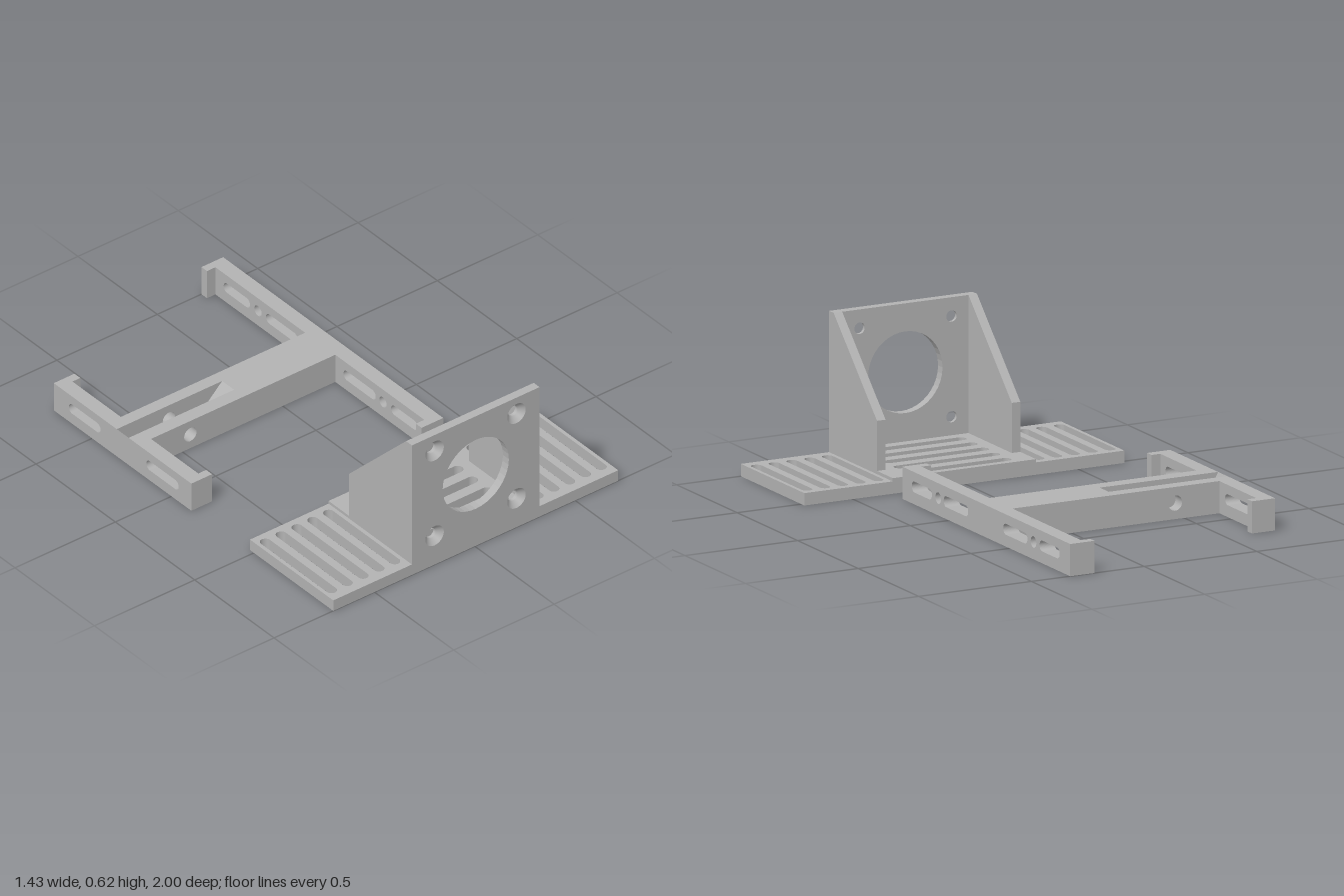
import * as THREE from 'three';

const grey = new THREE.MeshStandardMaterial({ color: 0xb2b2b2 });
grey.name = 'grey plastic';
const greyOpen = grey.clone();
greyOpen.side = THREE.DoubleSide;

const poly = (pts) => new THREE.Shape(pts.map(([a, b]) => new THREE.Vector2(a, b)));
const rect = (a0, a1, b0, b1) => poly([[a0, b0], [a1, b0], [a1, b1], [a0, b1]]);

function circle(x, y, r) {
  const p = new THREE.Path();
  p.absarc(x, y, r, 0, Math.PI * 2, true);
  return p;
}

// Round-ended slot spanning a0..a1, b0..b1, along its longer side
function slot(a0, a1, b0, b1) {
  const p = new THREE.Path();
  const ca = (a0 + a1) / 2, cb = (b0 + b1) / 2, h = Math.PI / 2;
  if (a1 - a0 > b1 - b0) {
    const r = (b1 - b0) / 2;
    p.absarc(a1 - r, cb, r, -h, h, false);
    p.absarc(a0 + r, cb, r, h, 3 * h, false);
  } else {
    const r = (a1 - a0) / 2;
    p.absarc(ca, b1 - r, r, 0, 2 * h, false);
    p.absarc(ca, b0 + r, r, 2 * h, 4 * h, false);
  }
  p.closePath();
  return p;
}

// Extrude from w0 to w1 along an axis. Shape axes: z -> (x, y), y -> (x, -z), x -> (-z, y)
function solid(group, name, shape, axis, w0, w1, holes = []) {
  shape.holes.push(...holes);
  const geo = new THREE.ExtrudeGeometry(shape, { depth: w1 - w0, bevelEnabled: false, curveSegments: 20 });
  geo.translate(0, 0, w0);
  if (axis === 'y') geo.rotateX(-Math.PI / 2);
  if (axis === 'x') geo.rotateY(Math.PI / 2);
  const mesh = new THREE.Mesh(geo, grey);
  mesh.name = name;
  group.add(mesh);
}

function motorMount() {
  const g = new THREE.Group();
  g.name = 'motorMount';
  const L = -0.313, R = 0.323, back = 0.475, inner = 0.963, sink = 0.977;

  // Slotted base: raised centre and two thinner wings
  const rows = [0, 1, 2, 3, 4].map((i) => 0.527 + i * 0.0925);
  solid(g, 'centreBase', rect(L, R, -inner, -back), 'y', 0, 0.063,
    rows.map((z) => slot(-0.228, 0.238, -z - 0.023, -z + 0.023)));
  for (const [name, x0, x1, first] of [['rightWing', -0.705, L, -0.667], ['leftWing', R, 0.715, 0.362]]) {
    const cols = [0, 1, 2, 3, 4].map((i) => first + i * 0.0788);
    solid(g, name, rect(x0, x1, -1, -back), 'y', 0, 0.05,
      cols.map((x) => slot(x - 0.022, x + 0.022, -0.962, -0.503)));
  }

  // Upright face with a large bore and four countersunk screw holes
  const screws = [-0.2, 0.208].flatMap((x) => [0.138, 0.544].map((y) => [x, y]));
  const face = (name, z0, z1, r) => solid(g, name, rect(L, R, 0, 0.62), 'z', z0, z1,
    [circle(0.005, 0.342, 0.165), ...screws.map(([x, y]) => circle(x, y, r))]);
  face('facePlateBack', inner, sink, 0.023);
  face('facePlateFront', sink, 1, 0.046);
  for (const [x, y] of screws) {
    const cone = new THREE.Mesh(new THREE.CylinderGeometry(0.046, 0.023, 1 - sink, 40, 1, true), greyOpen);
    cone.rotation.x = Math.PI / 2;
    cone.position.set(x, y, (1 + sink) / 2);
    cone.name = 'countersink';
    g.add(cone);
  }

  // Sloping side braces
  for (const [name, x0] of [['rightBrace', L], ['leftBrace', R - 0.038]]) {
    solid(g, name, poly([[-inner, 0.063], [-0.605, 0.063], [-0.605, 0.265], [-inner, 0.62]]), 'x', x0, x0 + 0.038);
  }
  return g;
}

function railFrame() {
  const g = new THREE.Group();
  g.name = 'railFrame';
  const H = 0.13, z0 = -0.345, z1 = -0.27;
  const railSlot = (a, b) => slot(-b, -a, 0.048, 0.092);
  const inFront = railSlot(-0.158, 0.045), inBack = railSlot(-0.647, -0.447);

  // Long rail with four slots and two round holes
  solid(g, 'longRail', rect(-0.387, 1, 0, H), 'x', 0.262, 0.328, [
    inFront, inBack, railSlot(0.142, 0.308), railSlot(-0.913, -0.747),
    circle(-0.09, 0.07, 0.023), circle(0.697, 0.07, 0.023)]);

  // Short rail, split around the sloped notch
  solid(g, 'shortRailFront', rect(-0.125, -z1, 0, H), 'x', -0.72, -0.656, [inFront]);
  solid(g, 'shortRailBack', rect(-z0, 0.742, 0, H), 'x', -0.72, -0.656, [inBack]);
  solid(g, 'shortRailNotch', poly([[-0.72, 0], [-0.656, 0], [-0.72, H]]), 'z', z0, z1);

  // Inward hooks at the rail ends
  for (const [xa, xb, za, zb] of [
    [0.22, 0.262, 0.351, 0.387], [0.22, 0.262, -1, -0.965],
    [-0.656, -0.617, 0.088, 0.125], [-0.656, -0.617, -0.742, -0.705]]) {
    solid(g, 'hook', rect(xa, xb, 0, H), 'z', za, zb);
  }

  // Crossbar: drilled cheeks either side of a ramped opening
  for (const [name, a, b] of [['crossbarFront', z1, -0.21], ['crossbarBack', -0.4, z0]]) {
    solid(g, name, rect(-0.656, 0.262, 0, H), 'z', a, b, [circle(-0.46, 0.065, 0.031)]);
  }
  solid(g, 'crossbarRamp', poly([[-0.33, 0], [0.262, 0], [0.262, H], [-0.195, H]]), 'z', z0, z1);
  return g;
}

export function createModel() {
  const model = new THREE.Group();
  model.name = 'motorBracketSet';
  model.add(motorMount(), railFrame());
  return model;
}
